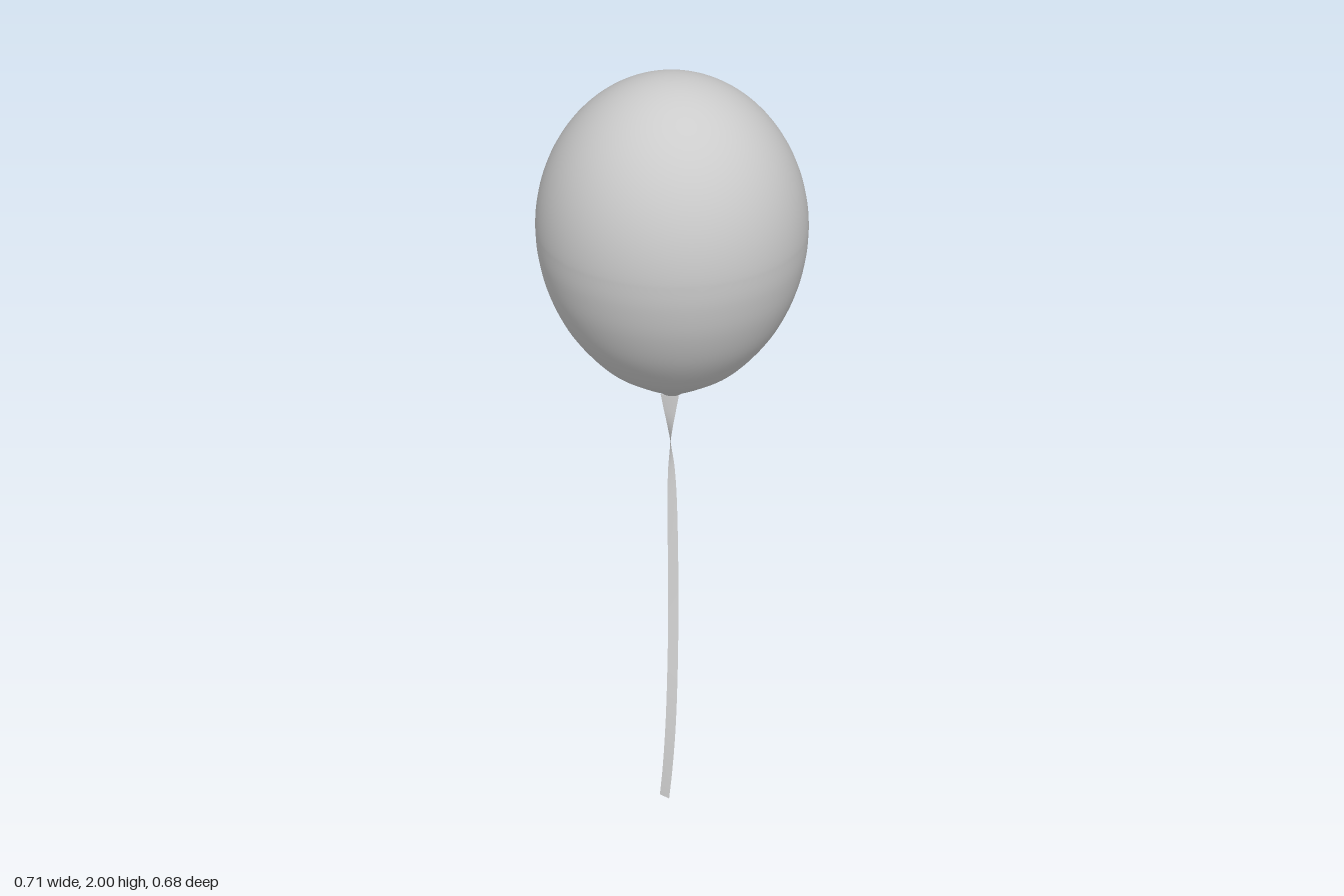
import * as THREE from 'three';

const V2 = (x, y) => new THREE.Vector2(x, y);
const grey = (side = THREE.FrontSide) => new THREE.MeshStandardMaterial({ color: 0xcccccc, side });

// Balloon: lathed teardrop, slightly flattened front to back
function makeBalloon() {
  const lower = new THREE.SplineCurve([
    V2(0, 1.09), V2(0.022, 1.093), V2(0.045, 1.108), V2(0.115, 1.148), V2(0.19, 1.2),
    V2(0.27, 1.295), V2(0.322, 1.4), V2(0.348, 1.5), V2(0.355, 1.58),
  ]).getPoints(40);
  const profile = lower.map((p) => V2(Math.max(p.x, 0), p.y));
  for (let i = 1; i <= 32; i++) {
    const a = (i / 32) * Math.PI / 2;
    profile.push(V2(i === 32 ? 0 : 0.355 * Math.cos(a), 1.58 + 0.42 * Math.sin(a)));
  }
  const mesh = new THREE.Mesh(new THREE.LatheGeometry(profile, 72), grey());
  mesh.scale.z = 0.952;
  mesh.name = 'balloon';
  return mesh;
}

// Ribbon: thin strip along a curve, with a half twist near its top
function makeRibbon() {
  // each station: y, centre x, centre z, width, twist in degrees
  const stations = [
    [1.085, -0.006, -0.002, 0.048, -180],
    [1.04, -0.006, -0.001, 0.034, -165],
    [0.99, -0.005, 0.003, 0.022, -132],
    [0.94, -0.003, 0.007, 0.017, -88],
    [0.88, 0, 0.013, 0.021, -45],
    [0.8, 0.003, 0.021, 0.025, -24],
    [0.6, 0.009, 0.045, 0.027, -10],
    [0.4, 0.013, 0.077, 0.027, -2],
    [0.2, 0.013, 0.119, 0.029, 16],
    [0.08, 0.009, 0.151, 0.032, 31],
    [0.005, 0.004, 0.175, 0.034, 38],
  ];
  const centre = new THREE.CatmullRomCurve3(stations.map(([y, x, z]) => new THREE.Vector3(x, y, z)));
  const shape = new THREE.CatmullRomCurve3(stations.map(([y, , , w, t]) => new THREE.Vector3(w, t / 1000, y)));
  const rows = 80;
  const geometry = new THREE.PlaneGeometry(1, 1, 1, rows);
  const pos = geometry.attributes.position;
  for (let i = 0; i <= rows; i++) {
    const c = centre.getPoint(i / rows);
    const s = shape.getPoint(i / rows);
    const twist = THREE.MathUtils.degToRad(s.y * 1000);
    const dx = Math.cos(twist) * s.x / 2;
    const dz = Math.sin(twist) * s.x / 2;
    pos.setXYZ(2 * i, c.x - dx, c.y, c.z - dz);
    pos.setXYZ(2 * i + 1, c.x + dx, c.y, c.z + dz);
  }
  geometry.computeVertexNormals();
  const mesh = new THREE.Mesh(geometry, grey(THREE.DoubleSide));
  mesh.name = 'ribbon';
  return mesh;
}

export function createModel() {
  const group = new THREE.Group();
  group.name = 'balloonOnRibbon';
  group.add(makeBalloon(), makeRibbon());
  return group;
}
